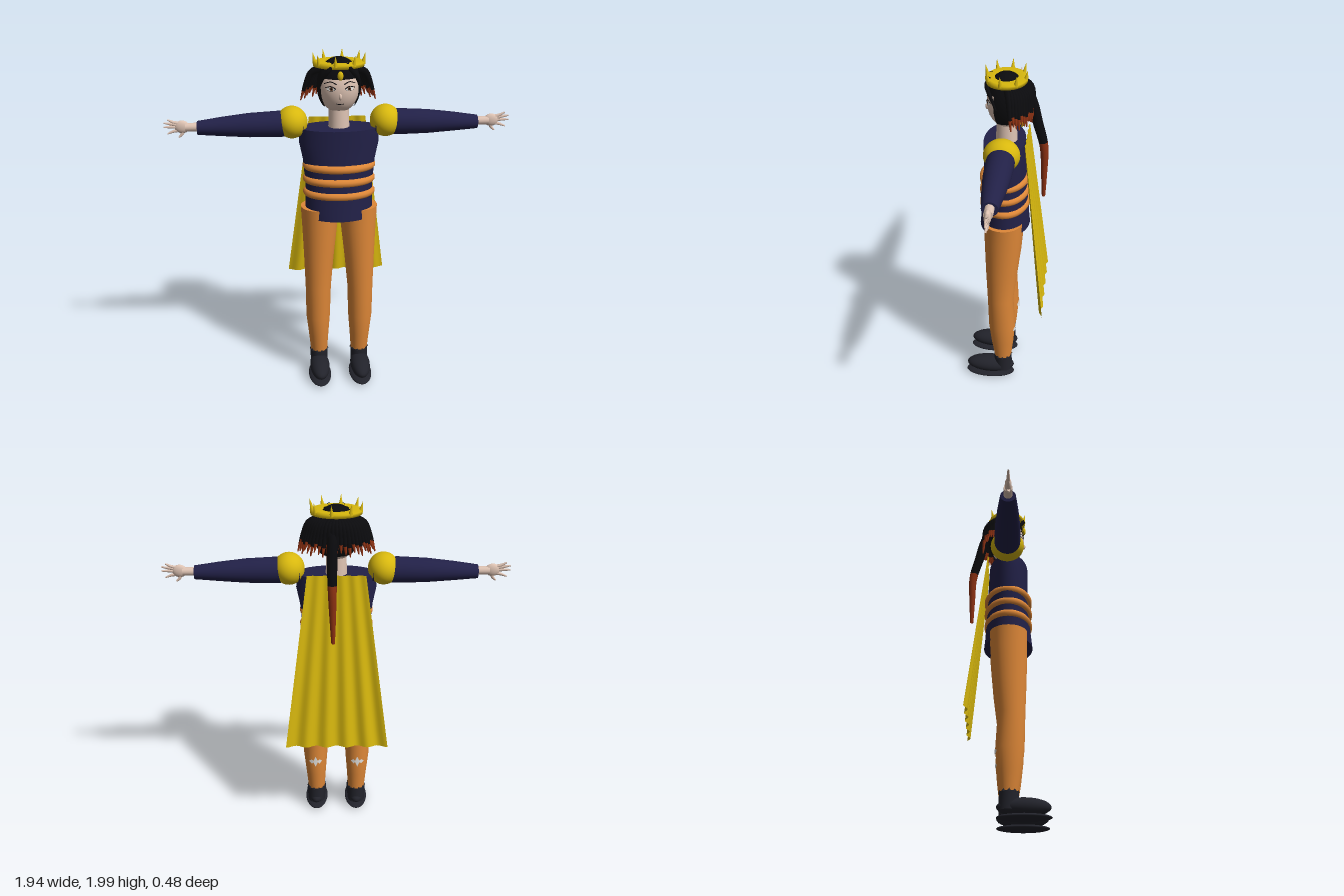
import * as THREE from 'three';

const mat = (name, color, side = THREE.FrontSide) => {
  const m = new THREE.MeshStandardMaterial({ color, side });
  m.name = name;
  return m;
};

export function createModel() {
  const root = new THREE.Group();
  const navy = mat('navy cloth', 0x222148);
  const orange = mat('orange cloth', 0xdf8838);
  const gold = mat('gold', 0xd8b80e, THREE.DoubleSide);
  const skin = mat('skin', 0xdec3b3);
  const hair = mat('black hair', 0x0b0b0e, THREE.DoubleSide);
  const tips = mat('rust hair tips', 0x8a3012, THREE.DoubleSide);
  const shoe = mat('charcoal shoe', 0x22232b);
  const white = mat('white', 0xe8e6e2, THREE.DoubleSide);
  const brown = mat('brown iris', 0x6a4632, THREE.DoubleSide);

  const add = (name, geo, material, x = 0, y = 0, z = 0) => {
    const m = new THREE.Mesh(geo, material);
    m.name = name;
    m.position.set(x, y, z);
    root.add(m);
    return m;
  };
  const ball = (rx, ry, rz, w = 24, h = 16) => new THREE.SphereGeometry(1, w, h).scale(rx, ry, rz);

  // Closed skin over elliptical rings: [height, rx, rz, centreX, centreZ]
  const loft = (rings, n = 28) => {
    const pos = [], idx = [];
    const ring = ([y, rx, rz, cx = 0, cz = 0]) => {
      for (let j = 0; j < n; j++) {
        const a = (j / n) * Math.PI * 2;
        pos.push(cx + rx * Math.cos(a), y, cz + rz * Math.sin(a));
      }
    };
    rings.forEach(ring);
    for (let i = 0; i < rings.length - 1; i++) {
      for (let j = 0; j < n; j++) {
        const a = i * n + j, b = i * n + (j + 1) % n;
        idx.push(a, a + n, b, b, a + n, b + n);
      }
    }
    [rings[0], rings[rings.length - 1]].forEach((r, top) => {
      const s = pos.length / 3;
      ring(r);
      pos.push(r[3] ?? 0, r[0], r[4] ?? 0);
      for (let j = 0; j < n; j++) {
        const a = s + j, b = s + (j + 1) % n;
        idx.push(s + n, top ? b : a, top ? a : b);
      }
    });
    const g = new THREE.BufferGeometry();
    g.setAttribute('position', new THREE.Float32BufferAttribute(pos, 3));
    g.setIndex(idx);
    g.computeVertexNormals();
    return g;
  };

  // Tapered tube; tipFrom (0..1) starts the second material
  const strand = (pts, r0, r1, tipFrom = 1, segs = 12, sides = 7) => {
    const curve = new THREE.CatmullRomCurve3(pts.map(p => new THREE.Vector3(...p)));
    const g = new THREE.TubeGeometry(curve, segs, 1, sides);
    const p = g.attributes.position, v = new THREE.Vector3();
    for (let i = 0; i < p.count; i++) {
      const t = Math.floor(i / (sides + 1)) / segs;
      const c = curve.getPointAt(t);
      v.fromBufferAttribute(p, i).sub(c).multiplyScalar(r0 + (r1 - r0) * t * t).add(c);
      p.setXYZ(i, v.x, v.y, v.z);
    }
    const k = Math.round(segs * tipFrom) * sides * 6;
    g.addGroup(0, k, 0);
    if (k < g.index.count) g.addGroup(k, g.index.count - k, 1);
    return g;
  };

  // Tunic and its padded belts
  add('tunic', loft([
    [1.06, 0.19, 0.143, 0, 0.008], [1.11, 0.195, 0.138, 0, 0.008], [1.25, 0.192, 0.126, 0, 0.006],
    [1.4, 0.205, 0.12, 0, 0.006], [1.5, 0.225, 0.118, 0, 0.008], [1.585, 0.22, 0.116, 0, 0.01]], 40), navy);
  [1.365, 1.285, 1.205].forEach(y => {
    const pts = Array.from({ length: 24 }, (_, i) => {
      const a = (i / 24) * Math.PI * 2;
      return new THREE.Vector3(0.185 * Math.cos(a), y, 0.008 + 0.12 * Math.sin(a));
    });
    add('belt', new THREE.TubeGeometry(new THREE.CatmullRomCurve3(pts, true), 48, 0.023, 10, true), orange);
  });

  // Cape: a flared sheet with folds deepening to the hem
  const cape = new THREE.PlaneGeometry(2, 1, 48, 10);
  const cp = cape.attributes.position;
  for (let i = 0; i < cp.count; i++) {
    const u = cp.getX(i), t = 0.5 - cp.getY(i);
    cp.setXYZ(i, u * (0.162 + 0.135 * t), 1.61 - 1.02 * t,
      -0.113 - 0.112 * t - (0.003 + 0.008 * t) * Math.cos(u * Math.PI * 5 + Math.PI));
  }
  cape.computeVertexNormals();
  add('cape', cape, gold);

  for (const s of [-1, 1]) {
    // Arm, shoulder guard and hand
    add('shoulderGuard', ball(0.087, 0.09, 0.098, 32, 20), gold, s * 0.262, 1.613, 0);
    const arm = loft([[0.2, 0.065, 0.07, 1.605], [0.34, 0.073, 0.076, 1.604], [0.5, 0.067, 0.071, 1.601],
      [0.65, 0.053, 0.058, 1.597], [0.785, 0.038, 0.042, 1.592]].map(([t, a, b, h]) => [t, a, b, -s * h, 0]));
    add('sleeve', arm.rotateZ(-s * Math.PI / 2), navy);
    add('wrist', new THREE.CylinderGeometry(0.024, 0.024, 0.08, 14).rotateZ(Math.PI / 2), skin, s * 0.81, 1.597, 0);
    add('palm', ball(0.042, 0.036, 0.018, 16, 12), skin, s * 0.868, 1.6, 0);
    [[0.945, 1.642], [0.967, 1.624], [0.968, 1.6], [0.95, 1.562], [0.89, 1.54]].forEach(([x, y], i) => {
      const thumb = i === 4;
      add(thumb ? 'thumb' : 'finger', strand([[s * 0.865, thumb ? 1.585 : 1.618 - i * 0.012, 0],
        [s * (thumb ? 0.87 : 0.91), thumb ? 1.56 : y * 0.6 + 1.6 * 0.4, 0], [s * x, y, 0]], 0.011, 0.004, 1, 6, 7), skin);
    });

    // Leg
    add('trouserLeg', loft([
      [0.15, 0.05, 0.05, s * 0.124, 0.01], [0.27, 0.06, 0.067, s * 0.126, 0.013], [0.4, 0.072, 0.08, s * 0.128, 0.015],
      [0.6, 0.076, 0.077, s * 0.126, 0.024], [0.8, 0.088, 0.094, s * 0.12, 0.016],
      [1.0, 0.103, 0.106, s * 0.113, 0.01], [1.115, 0.11, 0.109, s * 0.112, 0.008]]), orange);

    // Pale diamonds on the calf
    [[-0.024, 0.016], [0, 0.036], [0.024, 0.016]].forEach(([dx, h]) => {
      const d = new THREE.CircleGeometry(1, 4).scale(0.016, h, 1);
      const p = d.attributes.position;
      for (let i = 0; i < p.count; i++) {
        const x = p.getX(i) + dx;
        p.setXYZ(i, x, p.getY(i), 0.012 - 0.08 * Math.sqrt(1 - (x / 0.075) ** 2));
      }
      d.computeVertexNormals();
      add('calfPatch', d, white, s * 0.128, 0.38, 0);
    });

    // Shoe with jagged ankle cuff
    add('shoeUpper', ball(0.06, 0.052, 0.147), shoe, s * 0.125, 0.08, 0.088);
    add('sole', ball(0.069, 0.019, 0.15), shoe, s * 0.125, 0.025, 0.09);
    add('ankle', loft([[0.06, 0.052, 0.056, s * 0.125, 0.008], [0.16, 0.053, 0.053, s * 0.125, 0.01]]), shoe);
    for (let i = 0; i < 10; i++) {
      const a = (i / 10) * Math.PI * 2;
      add('cuffPoint', new THREE.ConeGeometry(0.013, 0.03, 4), shoe,
        s * 0.125 + 0.046 * Math.cos(a), 0.17, 0.01 + 0.046 * Math.sin(a));
    }
  }

  // Head and neck
  const HY = 1.81, HX = 0.113, HH = 0.145, HZ = 0.107;
  add('neck', new THREE.CylinderGeometry(0.055, 0.06, 0.14, 24), skin, 0, 1.64, 0);
  add('head', ball(HX, HH, HZ, 40, 28), skin, 0, HY, 0);
  const faceZ = (x, y, off) => HZ * Math.sqrt(Math.max(0, 1 - (x / HX) ** 2 - ((y - HY) / HH) ** 2)) + off;
  const disc = (name, x, y, rx, ry, off, m) => {
    const g = new THREE.CircleGeometry(1, 20).scale(rx, ry, 1).translate(x, y, 0);
    const p = g.attributes.position;
    for (let i = 0; i < p.count; i++) p.setZ(i, faceZ(p.getX(i), p.getY(i), off));
    g.computeVertexNormals();
    add(name, g, m);
  };
  const line = (name, pts, r) =>
    add(name, strand(pts.map(([x, y]) => [x, y, faceZ(x, y, 0.001)]), r, r * 0.6, 1, 10, 5), hair);
  for (const s of [-1, 1]) {
    disc('eyeWhite', s * 0.05, 1.817, 0.024, 0.01, 0.002, white);
    disc('iris', s * 0.049, 1.818, 0.01, 0.0095, 0.0035, brown);
    disc('pupil', s * 0.049, 1.818, 0.005, 0.005, 0.0045, hair);
    line('upperLash', [[s * 0.024, 1.818], [s * 0.048, 1.831], [s * 0.08, 1.822]], 0.003);
    line('lowerLash', [[s * 0.03, 1.812], [s * 0.05, 1.806], [s * 0.072, 1.812]], 0.0015);
    line('eyebrow', [[s * 0.02, 1.843], [s * 0.05, 1.855], [s * 0.085, 1.842]], 0.003);
  }
  line('mouth', [[-0.02, 1.733], [0, 1.731], [0.02, 1.733]], 0.0025);
  add('nose', ball(0.009, 0.018, 0.012, 12, 10), skin, 0, 1.775, 0.104);

  // Hair: crown cap, back shell open at the face
  const D = Math.PI / 180;
  const shell = (p0, pl, t0, tl) => new THREE.SphereGeometry(1, 32, 20, p0 * D, pl * D, t0 * D, tl * D).scale(0.122, 0.16, 0.115);
  add('hairCap', shell(0, 360, 0, 70), hair, 0, 1.815, 0);
  add('hairBack', shell(148, 244, 60, 72), hair, 0, 1.815, 0);

  // Flared strands around the back, with rust ends
  const N = 25;
  for (let i = 0; i < N; i++) {
    const a = (-82 + (164 * i) / (N - 1)) * D, sx = Math.sin(a), cz = -Math.cos(a);
    const tipY = 1.725 + 0.012 * (i % 3);
    add('hairStrand', strand([[0.1 * sx, 1.905, 0.09 * cz], [0.15 * sx, 1.885, 0.122 * cz - 0.008],
      [0.182 * sx, 1.82, 0.128 * cz - 0.015], [0.212 * sx, tipY, 0.125 * cz - 0.025]], 0.019, 0.003, 0.75), [hair, tips]);
  }
  // Forelocks
  for (const s of [-1, 1]) {
    add('forelock', strand([[s * 0.035, 1.95, 0.085], [s * 0.06, 1.92, 0.1], [s * 0.095, 1.87, 0.078],
      [s * 0.116, 1.8, 0.045]], 0.013, 0.004), [hair]);
  }
  add('ponytail', strand([[0.02, 1.9, -0.09], [0.022, 1.83, -0.135], [0.024, 1.7, -0.172], [0.024, 1.56, -0.208],
    [0.022, 1.4, -0.212], [0.02, 1.25, -0.212]], 0.03, 0.01, 0.5, 24, 10), [hair, tips]);

  // Crown: broad ring, leaning spikes and a brow drop
  const ring = [[0.12, 1.92], [0.14, 1.925], [0.143, 1.945], [0.127, 1.953], [0.078, 1.95]];
  add('crownRing', new THREE.LatheGeometry(ring.map(p => new THREE.Vector2(...p)), 40).scale(1, 1, 0.8), gold);
  for (let i = 0; i < 8; i++) {
    const a = (11 + i * 45) * D;
    const spike = add('crownSpike', new THREE.ConeGeometry(0.013, 0.062, 10), gold,
      0.139 * Math.cos(a), 1.969, 0.111 * Math.sin(a));
    spike.rotation.set(0.2 * Math.sin(a), 0, -0.2 * Math.cos(a));
  }
  add('browDrop', ball(0.016, 0.025, 0.012, 14, 12), gold, 0, 1.89, 0.107);

  return root;
}
